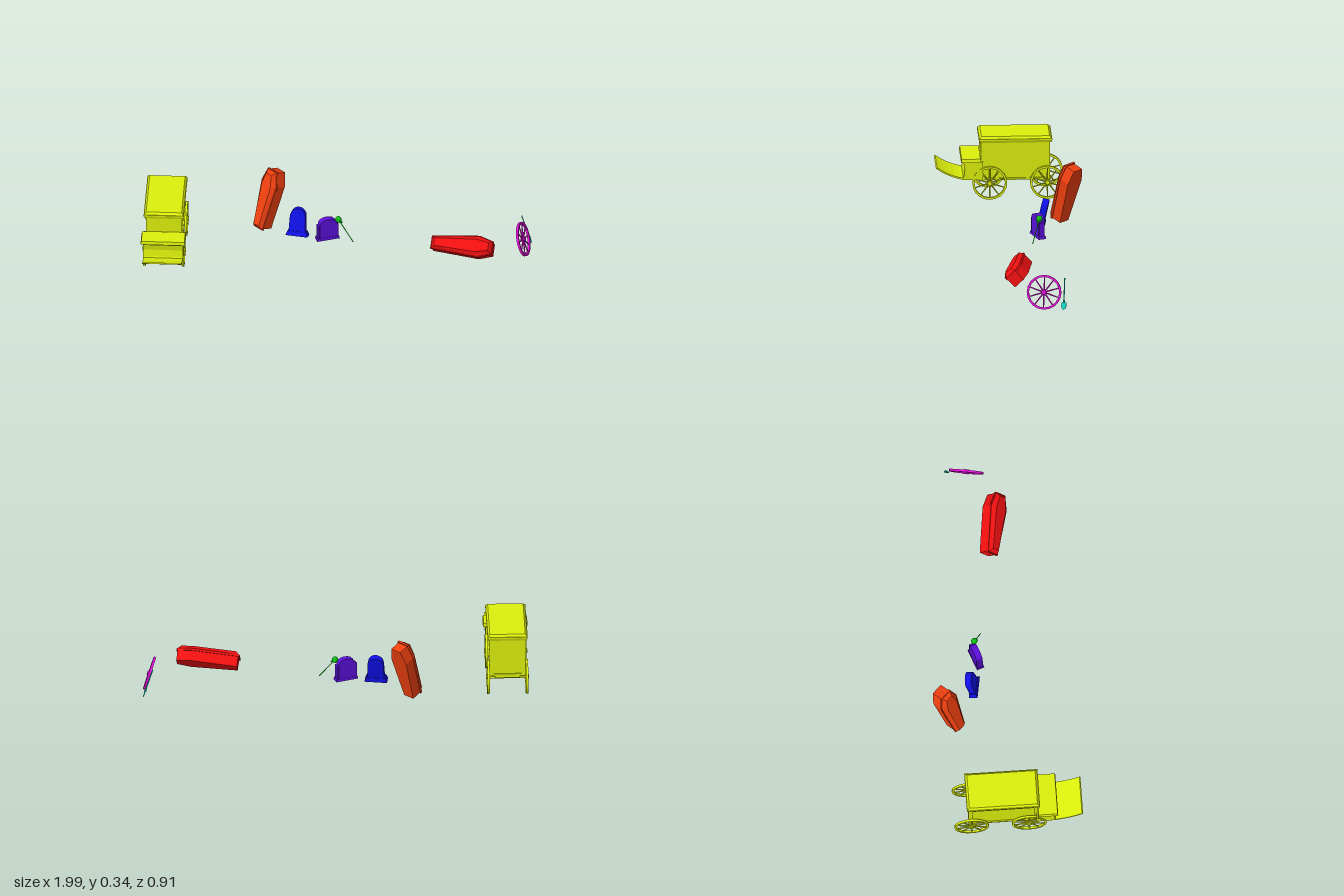
import * as THREE from 'three';

const paint = (color) => new THREE.MeshStandardMaterial({ color, flatShading: true });

function part(parent, name, geometry, material, x = 0, y = 0, z = 0) {
  const mesh = new THREE.Mesh(geometry, material);
  mesh.name = name;
  mesh.position.set(x, y, z);
  parent.add(mesh);
  return mesh;
}

function group(parent, name, x = 0, y = 0, z = 0) {
  const g = new THREE.Group();
  g.name = name;
  g.position.set(x, y, z);
  parent.add(g);
  return g;
}

const box = (w, h, d) => new THREE.BoxGeometry(w, h, d);

// Block standing on y = 0 whose top is scaled in x and z
function taperedBlock(w, h, d, sx, sz) {
  const geo = box(w, h, d).translate(0, h / 2, 0);
  const p = geo.attributes.position;
  for (let i = 0; i < p.count; i++) {
    if (p.getY(i) > h / 2) p.setXYZ(i, p.getX(i) * sx, p.getY(i), p.getZ(i) * sz);
  }
  return geo;
}

function slab(points, depth) {
  const shape = new THREE.Shape(points.map(([x, y]) => new THREE.Vector2(x, y)));
  return new THREE.ExtrudeGeometry(shape, { depth, bevelEnabled: false });
}

// Spoked wheel, axle along x
function addWheel(parent, name, material, x, y, z, r = 0.09) {
  const wheel = group(parent, name, x, y, z);
  const t = 0.006;
  const profile = [[r - 0.011, -t], [r, -t], [r, t], [r - 0.011, t], [r - 0.011, -t]];
  const rim = new THREE.LatheGeometry(profile.map(([a, b]) => new THREE.Vector2(a, b)), 20);
  part(wheel, 'rim', rim.rotateZ(Math.PI / 2), material);
  part(wheel, 'hub', new THREE.CylinderGeometry(0.012, 0.012, 0.024, 10).rotateZ(Math.PI / 2), material);
  for (let i = 0; i < 10; i++) {
    const spoke = new THREE.CylinderGeometry(0.003, 0.0042, r - 0.012, 6).translate(0, (r - 0.008) / 2, 0);
    part(wheel, 'spoke', spoke, material).rotation.x = (i / 10) * Math.PI * 2;
  }
  return wheel;
}

// Six-sided coffin: foot at the origin, head along `up`, lid facing `face`
function addCoffin(parent, name, material, position, up, face) {
  const coffin = group(parent, name);
  const L = 0.325;
  const hex = (s) => [[0.034, 0], [0.056, 0.77 * L], [0.033, L], [-0.033, L], [-0.056, 0.77 * L], [-0.034, 0]]
    .map(([x, y]) => [x * s, L / 2 + (y - L / 2) * (1 + (s - 1) * 0.4)]);
  part(coffin, 'case', slab(hex(0.94), 0.058), material, 0, 0, -0.043);
  part(coffin, 'lidRim', slab(hex(1.03), 0.011), material, 0, 0, 0.012);
  const crown = slab(hex(0.96), 0.02);
  const p = crown.attributes.position;
  for (let i = 0; i < p.count; i++) {
    if (p.getZ(i) > 0.01) p.setXY(i, p.getX(i) * 0.62, L / 2 + (p.getY(i) - L / 2) * 0.9);
  }
  part(coffin, 'lidCrown', crown, material, 0, 0, 0.023);
  const Y = new THREE.Vector3(...up).normalize();
  const X = new THREE.Vector3().crossVectors(Y, new THREE.Vector3(...face)).normalize();
  const Z = new THREE.Vector3().crossVectors(X, Y);
  coffin.quaternion.setFromRotationMatrix(new THREE.Matrix4().makeBasis(X, Y, Z));
  coffin.position.set(...position);
}

function addCarriage(root) {
  const m = paint(0xdcf00c);
  const c = group(root, 'carriage', -0.849, 0, 0.033);
  c.rotation.y = 0.17;

  // Cabin with framed sides, front and rear doors
  const cabin = group(c, 'cabin');
  part(cabin, 'cabinCore', box(0.172, 0.2, 0.348), m, 0, 0.21, 0);
  part(cabin, 'floor', box(0.186, 0.01, 0.36), m, 0, 0.108, 0);
  for (const s of [-1, 1]) {
    for (const e of [-1, 1]) part(cabin, 'cornerPost', box(0.022, 0.205, 0.022), m, s * 0.082, 0.209, e * 0.169);
    part(cabin, 'sideRail', box(0.012, 0.026, 0.36), m, s * 0.087, 0.298, 0);
    part(cabin, 'endRail', box(0.186, 0.026, 0.012), m, 0, 0.298, s * 0.174);
    part(cabin, 'doorFrame', box(0.009, 0.17, 0.01), m, s * 0.007, 0.2, -0.175);
  }
  part(cabin, 'cornice', taperedBlock(0.196, 0.014, 0.37, 1.06, 1.025), m, 0, 0.308, 0);
  part(cabin, 'roofEdge', box(0.208, 0.008, 0.38), m, 0, 0.325, 0);
  part(cabin, 'roof', taperedBlock(0.204, 0.013, 0.376, 0.9, 0.94), m, 0, 0.328, 0);

  // Driver's seat
  const seatSide = [[0.17, 0.11], [0.275, 0.11], [0.268, 0.13], [0.263, 0.165], [0.268, 0.195], [0.276, 0.207], [0.17, 0.207]];
  part(c, 'seatBox', slab(seatSide, 0.206).rotateY(-Math.PI / 2), m, 0.103, 0, 0);
  part(c, 'seatCushion', taperedBlock(0.232, 0.018, 0.104, 0.96, 0.94), m, 0, 0.207, 0.231);

  // Curved footboard
  const curve = new THREE.SplineCurve([[0.17, 0.106], [0.23, 0.109], [0.293, 0.115], [0.363, 0.142], [0.413, 0.174]]
    .map(([a, b]) => new THREE.Vector2(a, b)));
  const under = curve.getPoints(10).map((p) => [p.x, p.y]);
  const over = under.map(([a, b], i) => [a - i * 0.0006, b + 0.012 - i * 0.0007]).reverse();
  part(c, 'footboard', slab([...under, ...over], 0.204).rotateY(-Math.PI / 2), m, 0.102, 0, 0);

  // Running gear
  for (const [z, label] of [[0.134, 'front'], [-0.165, 'rear']]) {
    part(c, label + 'Axle', box(0.2, 0.012, 0.014), m, 0, 0.09, z);
    part(c, label + 'Bolster', box(0.13, 0.016, 0.03), m, 0, 0.099, z);
    for (const s of [-1, 1]) addWheel(c, label + 'Wheel', m, s * 0.1, 0.09, z);
  }
}

function addStones(root) {
  // Round-topped gravestone leaning back
  const blue = paint(0x1010e8);
  const round = group(root, 'roundGravestone', -0.198, 0.05, -0.178);
  round.rotation.x = -0.22;
  part(round, 'plinth', taperedBlock(0.118, 0.024, 0.046, 0.84, 0.84), blue);
  const arch = [[-0.045, 0], [0.045, 0], [0.041, 0.105]];
  for (let i = 1; i <= 10; i++) {
    const a = (i / 10) * Math.PI;
    arch.push([0.041 * Math.cos(a), 0.105 + 0.045 * Math.sin(a)]);
  }
  part(round, 'stone', slab(arch, 0.034), blue, 0, 0, -0.017);

  // Shouldered gravestone turned to the side
  const purple = paint(0x5a10d8);
  const stone = group(root, 'shoulderedGravestone', -0.04, 0.048, -0.186);
  stone.rotation.y = 0.52;
  part(stone, 'plinth', taperedBlock(0.122, 0.014, 0.042, 0.95, 0.9), purple);
  part(stone, 'shoulders', box(0.112, 0.088, 0.028), purple, 0, 0.044, 0);
  const top = [[-0.046, 0], [0.046, 0]];
  for (let i = 0; i <= 8; i++) {
    const a = (i / 8) * Math.PI;
    top.push([0.046 * Math.cos(a), 0.092 + 0.03 * Math.sin(a)]);
  }
  part(stone, 'stone', slab(top, 0.034), purple, 0, 0, -0.017);
}

// Flower resting against the gravestone
function addFlower(root) {
  const green = paint(0x10d018);
  const flower = group(root, 'flower');
  const head = new THREE.Vector3(0.015, 0.162, -0.2);
  const foot = new THREE.Vector3(0.1, 0.05, -0.175);
  part(flower, 'stem', new THREE.TubeGeometry(new THREE.LineCurve3(foot, head), 1, 0.0025, 5), green);
  part(flower, 'bloom', new THREE.IcosahedronGeometry(0.017, 1), green, head.x, head.y, head.z);
  for (const s of [-1, 1]) {
    const leaf = part(flower, 'leaf', new THREE.OctahedronGeometry(0.01).scale(1.3, 0.3, 0.6), green, 0.03, 0.15, -0.196 + s * 0.006);
    leaf.rotation.set(0, s * 0.7, -0.4);
  }
}

// Loose wheel and shovel, both leaning
function addLooseItems(root) {
  const wheel = addWheel(root, 'looseWheel', paint(0xe810e0), 0.965, 0.088, -0.339);
  wheel.rotation.z = 0.3;

  const teal = paint(0x10dcc8);
  const shovel = group(root, 'shovel', 0.983, 0.002, -0.443);
  shovel.rotation.z = 0.3;
  const blade = [[0, 0], [0.009, 0.006], [0.013, 0.018], [0.013, 0.038], [-0.013, 0.038], [-0.013, 0.018], [-0.009, 0.006]];
  part(shovel, 'blade', slab(blade, 0.005).rotateY(-Math.PI / 2), teal, 0.0025, 0, 0);
  part(shovel, 'socket', new THREE.CylinderGeometry(0.004, 0.006, 0.02, 8), teal, 0, 0.042, 0);
  part(shovel, 'handle', new THREE.CylinderGeometry(0.003, 0.003, 0.128, 8), teal, 0, 0.102, 0);
}

export function createModel() {
  const root = new THREE.Group();
  root.name = 'graveyardSet';
  addCarriage(root);
  addCoffin(root, 'leaningCoffin', paint(0xf04010), [-0.406, 0.024, -0.247], [0.18, 0.95, -0.25], [-0.55, 0.31, 0.77]);
  addCoffin(root, 'lyingCoffin', paint(0xf01010), [0.52, 0.106, -0.171], [1, 0.04, 0.02], [0, 0.707, 0.707]);
  addStones(root);
  addFlower(root);
  addLooseItems(root);
  return root;
}
